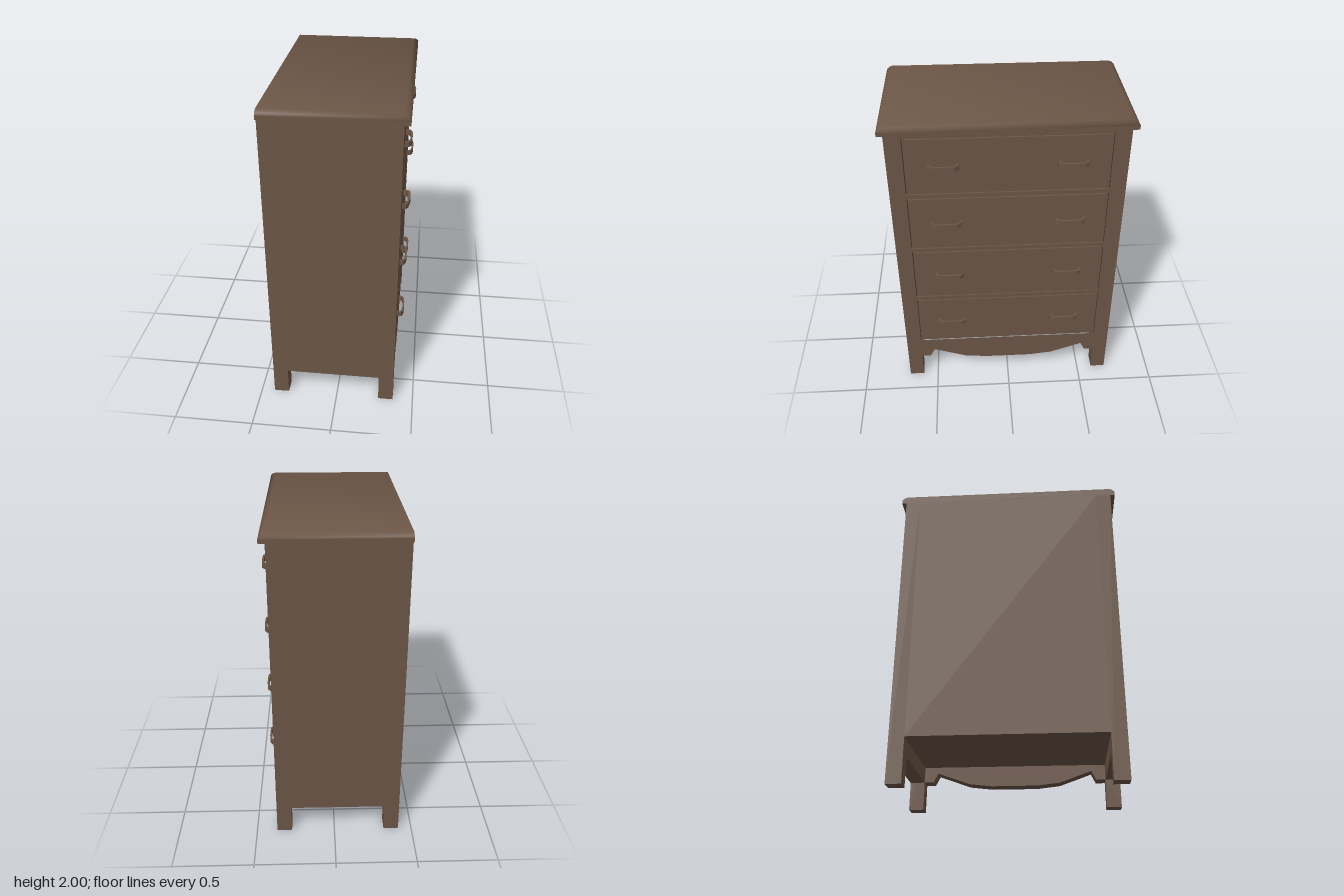
import * as THREE from 'three';

const wood = new THREE.MeshStandardMaterial({ color: 0x6b5546 });
wood.name = 'brown wood';
const dark = new THREE.MeshStandardMaterial({ color: 0x40332a });
dark.name = 'dark groove';

// Main sizes: drawers face +x, the plain back is at -x
const BACK = -0.415, FACE = 0.37, SIDE = 0.695, INNER = 0.6, LEG = 0.095;
const BODY_TOP = 1.95, RAIL = 0.18, FLOOR = 0.28;

function add(group, name, geometry, material = wood) {
  const mesh = new THREE.Mesh(geometry, material);
  mesh.name = name;
  group.add(mesh);
  return mesh;
}

function block(x0, x1, y0, y1, z0, z1) {
  return new THREE.BoxGeometry(x1 - x0, y1 - y0, z1 - z0)
    .translate((x0 + x1) / 2, (y0 + y1) / 2, (z0 + z1) / 2);
}

const shapeOf = (pts) => new THREE.Shape(pts.map(([a, b]) => new THREE.Vector2(a, b)));

// Extrude a (z, y) outline backwards from x = front
function extrudeBack(shape, front, depth) {
  return new THREE.ExtrudeGeometry(shape, { depth, bevelEnabled: false, curveSegments: 8 })
    .rotateY(-Math.PI / 2).translate(front, 0, 0);
}

// Rounded upper part of the top, with the back edge left square
function topBevel() {
  const rings = [[1.975, 0, 4], [1.985, 0.007, 1.5], [1.995, 0.02, 0.7], [2, 0.036, 0.3]];
  const pos = [], nor = [], idx = [];
  for (const [y, inset, tilt] of rings) {
    const z = 0.725 - inset, x = 0.405 - inset;
    for (const [px, pz, sx, sz] of [[BACK, z, 0, 1], [x, z, 1, 1], [x, -z, 1, -1], [BACK, -z, 0, -1]]) {
      const n = new THREE.Vector3(sx * tilt, 1, sz * tilt).normalize();
      pos.push(px, y, pz);
      nor.push(n.x, n.y, n.z);
    }
  }
  for (let r = 0; r < rings.length - 1; r++) {
    for (let i = 0; i < 3; i++) {
      const a = r * 4 + i, b = a + 1, c = a + 4, d = a + 5;
      idx.push(a, b, d, a, d, c);
    }
  }
  const t = (rings.length - 1) * 4;
  idx.push(t, t + 1, t + 2, t, t + 2, t + 3);
  const g = new THREE.BufferGeometry();
  g.setAttribute('position', new THREE.Float32BufferAttribute(pos, 3));
  g.setAttribute('normal', new THREE.Float32BufferAttribute(nor, 3));
  g.setIndex(idx);
  return g;
}

// Arched pull seen from above: x along the bar, y away from the drawer
function handleGeometry() {
  const outer = [[0.09, 0], [0.088, 0.024], [0.066, 0.038], [0.03, 0.041]];
  const inner = [[0.078, 0], [0.076, 0.018], [0.06, 0.027], [0.03, 0.03]];
  const flip = (pts) => pts.map(([a, b]) => [-a, b]);
  const outline = [...outer, ...flip(outer).reverse(), ...flip(inner), ...[...inner].reverse()];
  return new THREE.ExtrudeGeometry(shapeOf(outline), { depth: 0.032, bevelEnabled: false })
    .translate(0, 0, -0.016)
    .rotateX(-Math.PI / 2)
    .rotateY(-Math.PI / 2);
}

export function createModel() {
  const model = new THREE.Group();
  model.name = 'chestOfDrawers';

  // Inner carcass with flush back and raised floor
  add(model, 'carcass', block(BACK, FACE - LEG, FLOOR, BODY_TOP, -INNER, INNER));

  // Side panels, each with its back leg
  const sideShape = shapeOf([
    [BACK, 0], [BACK + LEG, 0], [BACK + LEG, RAIL], [FACE - LEG, RAIL], [FACE - LEG, BODY_TOP], [BACK, BODY_TOP],
  ]);
  for (const z of [INNER, -SIDE]) {
    const g = new THREE.ExtrudeGeometry(sideShape, { depth: LEG, bevelEnabled: false });
    add(model, 'sidePanel', g).position.z = z;
  }

  // Drawer-side frame: front legs and scalloped apron in one outline
  const half = [[SIDE, BODY_TOP], [SIDE, 0], [INNER, 0], [INNER, RAIL], [0.54, RAIL], [0.51, 0.24], [0.3, 0.165], [0.15, 0.148]];
  const frame = shapeOf([...half, ...half.map(([a, b]) => [-a, b]).reverse()]);
  const rows = [0.335, 0.737, 1.138, 1.54].map((y) => [y, y + 0.373]);
  for (const [y0, y1] of rows) {
    frame.holes.push(shapeOf([[-INNER, y0], [-INNER, y1], [INNER, y1], [INNER, y0]]));
  }
  add(model, 'drawerFrame', extrudeBack(frame, FACE, LEG));

  // Drawers with a narrow dark gap around them and two pulls each
  const gap = 0.007;
  const pull = handleGeometry();
  for (const [y0, y1] of rows) {
    const drawer = new THREE.Group();
    drawer.name = 'drawer';
    add(drawer, 'drawerGap', block(FACE - 0.02, FACE - 0.012, y0, y1, -INNER, INNER), dark);
    add(drawer, 'drawerFront', block(FACE - 0.015, FACE, y0 + gap, y1 - gap, -INNER + gap, INNER - gap));
    for (const z of [-0.373, 0.373]) {
      const handle = add(drawer, 'handle', pull);
      handle.position.set(FACE, (y0 + y1) / 2 + 0.003, z);
      handle.rotation.y = handleTurn(pull);
    }
    model.add(drawer);
  }

  // Overhanging top
  const top = new THREE.Group();
  top.name = 'top';
  add(top, 'topSlab', block(BACK, 0.405, BODY_TOP, 1.975, -0.725, 0.725));
  add(top, 'topRoundedEdge', topBevel());
  const end = shapeOf([
    [-0.725, 1.975], [0.725, 1.975], [0.718, 1.985], [0.705, 1.995], [0.689, 2],
    [-0.689, 2], [-0.705, 1.995], [-0.718, 1.985],
  ]);
  add(top, 'topBackEdge', new THREE.ShapeGeometry(end).rotateY(-Math.PI / 2).translate(BACK, 0, 0));
  model.add(top);
  return model;
}

// Turn the pull so that it projects towards +x
function handleTurn(geometry) {
  geometry.computeBoundingBox();
  return geometry.boundingBox.max.x > 0.02 ? 0 : Math.PI;
}
